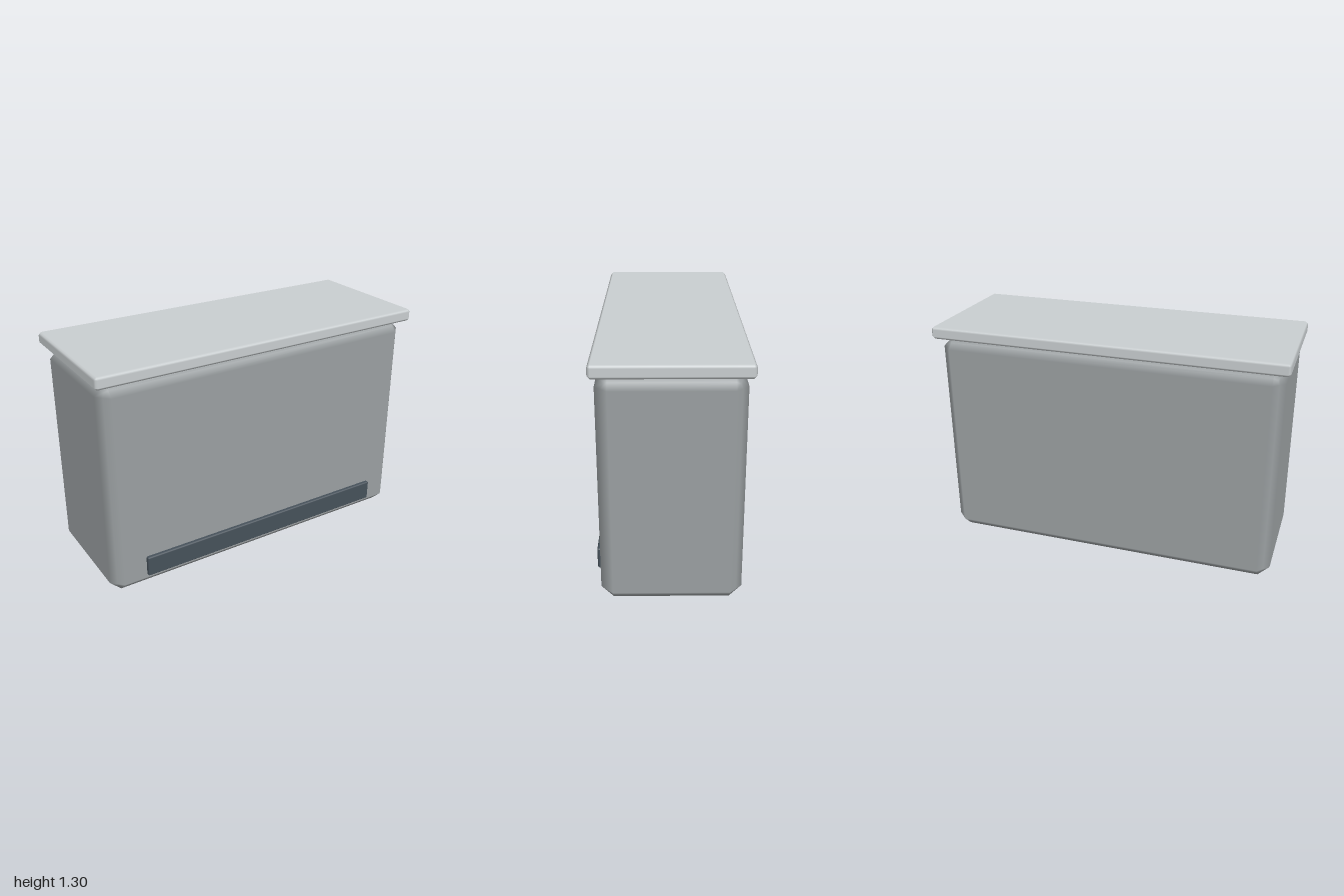
import * as THREE from 'three';

// Box with a single 45 degree chamfer on every edge; normals blend across the chamfers.
function chamferBox(w, h, d, r) {
  const geo = new THREE.BoxGeometry(1, 1, 1, 3, 3, 3);
  const pos = geo.attributes.position, nor = geo.attributes.normal;
  const half = new THREE.Vector3(w / 2 - r, h / 2 - r, d / 2 - r);
  const p = new THREE.Vector3(), n = new THREE.Vector3();
  const outer = (v) => (Math.abs(v) > 0.4 ? Math.sign(v) : 0);
  for (let i = 0; i < pos.count; i++) {
    p.fromBufferAttribute(pos, i);
    n.set(outer(p.x), outer(p.y), outer(p.z));
    const push = r / n.manhattanLength();
    p.set(Math.sign(p.x), Math.sign(p.y), Math.sign(p.z)).multiply(half).addScaledVector(n, push);
    pos.setXYZ(i, p.x, p.y, p.z);
    n.normalize();
    nor.setXYZ(i, n.x, n.y, n.z);
  }
  return geo;
}

function part(name, size, chamfer, center, color) {
  const mesh = new THREE.Mesh(chamferBox(...size, chamfer), new THREE.MeshStandardMaterial({ color }));
  mesh.name = name;
  mesh.position.set(...center);
  return mesh;
}

export function createModel() {
  const group = new THREE.Group();
  group.name = 'counter';
  group.add(
    // main cabinet
    part('body', [1.95, 1.235, 0.73], 0.064, [0, 0.6175, 0], 0x9a9fa1),
    // overhanging slab on top
    part('countertop', [2, 0.07, 0.78], 0.015, [0, 1.27, -0.001], 0xc8cdcf),
    // dark strip low on the front
    part('kickStrip', [1.56, 0.12, 0.028], 0.008, [0, 0.146, 0.378], 0x46515a)
  );
  return group;
}
